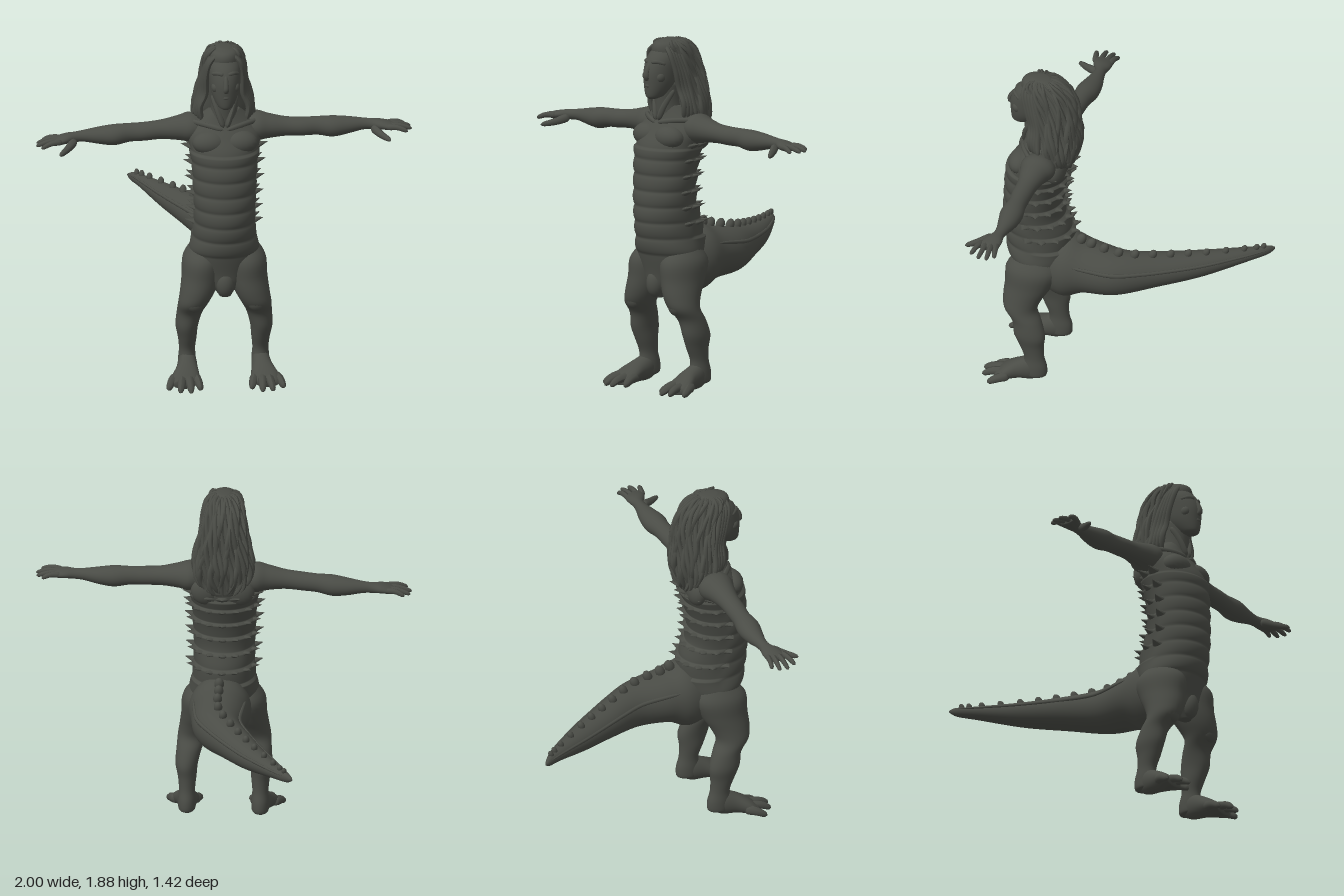
import * as THREE from 'three';

const skin = new THREE.MeshStandardMaterial({ color: 0x4a4c46 });
skin.name = 'dark olive grey';
const V = (x, y, z) => new THREE.Vector3(x, y, z);

// Smooth interpolation through rows of [x, y, z, halfWidth, halfDepth]
function profile(rows) {
  const path = new THREE.CatmullRomCurve3(rows.map(r => V(r[0], r[1], r[2])), false, 'catmullrom', 0.5);
  const size = new THREE.CatmullRomCurve3(rows.map(r => V(r[3], r[4], 0)), false, 'catmullrom', 0.5);
  return (v) => ({ c: path.getPoint(v), s: size.getPoint(v) });
}

// Closed body of elliptical rings whose planes are square to the given axis
function loft(name, rows, axis, steps = 40, sides = 28, shape = null) {
  const at = profile(rows), pos = [], idx = [];
  for (let i = 0; i <= steps; i++) {
    const { c, s } = at(i / steps);
    for (let j = 0; j < sides; j++) {
      const t = (j / sides) * Math.PI * 2, k = shape ? shape(c, t) : 0;
      const p = (s.x + k) * Math.cos(t), q = (s.y + k) * Math.sin(t);
      if (axis === 'y') pos.push(c.x + p, c.y, c.z + q);
      else if (axis === 'x') pos.push(c.x, c.y + q, c.z + p);
      else pos.push(c.x + p, c.y + q, c.z);
    }
  }
  for (let i = 0; i < steps; i++) for (let j = 0; j < sides; j++) {
    const a = i * sides + j, b = i * sides + (j + 1) % sides;
    idx.push(a, b, a + sides, b, b + sides, a + sides);
  }
  for (const i of [0, steps]) {
    const c = at(i / steps).c, n = pos.length / 3;
    pos.push(c.x, c.y, c.z);
    for (let j = 0; j < sides; j++) {
      const a = i * sides + j, b = i * sides + (j + 1) % sides;
      if (i) idx.push(a, b, n); else idx.push(b, a, n);
    }
  }
  // turn the faces outward
  const at3 = (i) => V(pos[i * 3], pos[i * 3 + 1], pos[i * 3 + 2]);
  let vol = 0;
  for (let i = 0; i < idx.length; i += 3) vol += at3(idx[i]).dot(at3(idx[i + 1]).cross(at3(idx[i + 2])));
  if (vol < 0) idx.reverse();
  const g = new THREE.BufferGeometry();
  g.setAttribute('position', new THREE.Float32BufferAttribute(pos, 3));
  g.setIndex(idx);
  g.computeVertexNormals();
  return named(name, g);
}

function named(name, geometry) {
  const m = new THREE.Mesh(geometry, skin);
  m.name = name;
  return m;
}

// Round strand along points, thickest at the middle radius and closed at both ends
function strand(name, points, r0, r1, steps = 16, sides = 8) {
  const curve = new THREE.CatmullRomCurve3(points), g = new THREE.TubeGeometry(curve, steps, 1, sides);
  const p = g.attributes.position, v = V(0, 0, 0);
  for (let i = 0; i <= steps; i++) {
    const u = i / steps, c = curve.getPointAt(u);
    const r = (r0 + (r1 - r0) * u) * Math.sqrt(Math.max(0, 1 - Math.pow(2 * u - 1, 6))) + 0.0005;
    for (let j = 0; j <= sides; j++) {
      const n = i * (sides + 1) + j;
      v.fromBufferAttribute(p, n).sub(c).multiplyScalar(r).add(c);
      p.setXYZ(n, v.x, v.y, v.z);
    }
  }
  g.computeVertexNormals();
  return named(name, g);
}

function blob(name, x, y, z, a, b, c) {
  const m = named(name, new THREE.SphereGeometry(1, 20, 14));
  m.position.set(x, y, z);
  m.scale.set(a, b, c);
  return m;
}

const torsoRows = [[0, .5, .53, .03, .03], [0, .55, .5, .07, .08], [0, .63, .46, .15, .13], [0, .72, .445, .185, .165],
  [0, .82, .45, .168, .18], [0, .92, .465, .16, .18], [0, 1.02, .485, .16, .16], [0, 1.12, .485, .165, .155],
  [0, 1.22, .475, .17, .16], [0, 1.32, .455, .185, .165], [0, 1.4, .43, .195, .145], [0, 1.46, .42, .15, .12], [0, 1.53, .44, .08, .08]];
const hairRows = [[0, 1.883, .45, .03, .04], [0, 1.86, .45, .075, .1], [0, 1.8, .42, .098, .135], [0, 1.7, .38, .115, .125],
  [0, 1.6, .36, .135, .11], [0, 1.5, .345, .15, .1], [0, 1.41, .33, .13, .065], [0, 1.35, .3, .07, .025]];
const tailRows = [[0, .68, .45, .12, .13], [.01, .69, .3, .165, .185], [.01, .7, .18, .15, .145], [0, .695, 0, .128, .12],
  [-.1, .7, -.2, .108, .09], [-.215, .708, -.4, .084, .066], [-.345, .727, -.6, .045, .036], [-.405, .733, -.68, .025, .025], [-.43, .735, -.71, .008, .008]];
const BAND = .085;

function addTorso(g) {
  // belly plates swell in front, overlapping ridges step outward behind
  g.add(loft('torso', torsoRows, 'y', 170, 48, (c, t) => {
    if (c.y < .74 || c.y > 1.31) return 0;
    const u = ((c.y - .74) / BAND) % 1, f = Math.sin(t);
    return f > -.1 ? .012 * Math.sqrt(Math.sin(Math.PI * u)) * Math.min(1, f + .4) : .018 * u * Math.min(1, -f + .3);
  }));
  g.add(blob('groin', 0, .575, .555, .05, .075, .05));
  for (const s of [-1, 1]) {
    g.add(blob('pectoral', s * .08, 1.365, .53, .095, .065, .07));
    g.add(blob('shoulderBlade', s * .09, 1.36, .33, .08, .08, .05));
    g.add(strand('neckTendon', [V(s * .008, 1.45, .545), V(s * .035, 1.53, .525), V(s * .065, 1.62, .48)], .016, .016));
    g.add(strand('collarbone', [V(s * .01, 1.44, .55), V(s * .09, 1.455, .515), V(s * .19, 1.46, .44)], .014, .014));
  }
  // rows of flattened spines around the back
  const at = profile(torsoRows);
  for (let row = 0; row < 6; row++) {
    const y = .9 + row * BAND;
    let v = 0;
    while (at(v).c.y < y) v += .002;
    const { c, s } = at(v);
    for (let k = -4; k <= 4; k++) {
      const t = -Math.PI / 2 + k * .4, out = V(Math.cos(t), .3, Math.sin(t)).normalize();
      const m = named('backSpine', new THREE.ConeGeometry(.042, .065, 8));
      m.scale.z = .4;
      m.position.set(s.x * Math.cos(t), y, c.z + s.y * Math.sin(t)).addScaledVector(out, .018);
      const side = V(-Math.sin(t), 0, Math.cos(t));
      m.quaternion.setFromRotationMatrix(new THREE.Matrix4().makeBasis(side, out, side.clone().cross(out)));
      g.add(m);
    }
  }
}

function addHead(g) {
  g.add(loft('neck', [[0, 1.38, .43, .1, .1], [0, 1.46, .445, .085, .09], [0, 1.54, .46, .07, .08], [0, 1.66, .47, .07, .08]], 'y', 16));
  g.add(loft('face', [[0, 1.572, .575, .02, .025], [0, 1.59, .555, .045, .06], [0, 1.65, .52, .073, .1], [0, 1.72, .505, .083, .113],
    [0, 1.79, .49, .083, .1], [0, 1.85, .46, .06, .07]], 'y', 30));
  g.add(strand('nose', [V(0, 1.765, .595), V(0, 1.72, .62), V(0, 1.69, .625), V(0, 1.68, .6)], .01, .017));
  g.add(strand('lips', [V(-.03, 1.642, .594), V(0, 1.644, .616), V(.03, 1.642, .594)], .008, .008));
  for (const s of [-1, 1]) {
    g.add(strand('brow', [V(s * .01, 1.768, .597), V(s * .04, 1.773, .585), V(s * .072, 1.76, .548)], .011, .009));
    g.add(blob('cheek', s * .05, 1.69, .565, .025, .03, .03));
  }
  g.add(loft('hairMass', hairRows, 'y', 40, 40));
  // wavy locks laid over the hair mass
  const at = profile(hairRows), locks = 34;
  for (let i = 0; i < locks; i++) {
    const phi = .45 - (i / (locks - 1)) * (Math.PI + .9), end = .87 + .13 * Math.abs(Math.sin(i * 2.3)), pts = [];
    for (let k = 0; k <= 11; k++) {
      const u = .03 + (end - .03) * k / 11, { c, s } = at(u), w = phi + .1 * Math.sin(k * 1.1 + i * 1.7);
      const lift = .002 + .007 * Math.sin(k * 1.4 + i);
      pts.push(V((s.x + lift) * Math.cos(w), c.y, c.z + (s.y + lift) * Math.sin(w)));
    }
    g.add(strand('hairLock', pts, .011, .016, 30, 7));
  }
  for (const s of [-1, 1]) for (let i = 0; i < 4; i++) {
    const d = i * .017;
    g.add(strand('frontLock', [V(s * .015, 1.868 - d * .2, .51 - d), V(s * .075, 1.82, .525 - d), V(s * (.098 + d * .2), 1.72, .5 - d),
      V(s * (.1 + d * .5), 1.62, .475 - d), V(s * (.13 + d * .3), 1.54, .47 - d), V(s * (.115 + d), 1.455 + d * .4, .46 - d)], .013, .017, 24));
  }
}

function addArm(g, s) {
  const drop = (x) => (s < 0 ? -.075 * Math.max(0, x - .3) : 0);
  const P = (x, y, z) => V(s * x, y + drop(x), z);
  const rows = [[.08, 1.41, .41, .06, .05], [.17, 1.413, .405, .095, .078], [.24, 1.41, .41, .075, .066], [.33, 1.405, .41, .056, .052],
    [.42, 1.402, .41, .053, .05], [.5, 1.402, .405, .05, .05], [.58, 1.397, .405, .062, .056], [.66, 1.4, .4, .052, .046],
    [.74, 1.405, .4, .034, .032], [.79, 1.405, .405, .032, .028], [.84, 1.405, .415, .05, .026], [.89, 1.4, .425, .055, .02], [.91, 1.398, .427, .04, .012]];
  g.add(loft('arm', rows.map(([x, y, z, a, b]) => [s * x, y + drop(x), z, a, b]), 'x', 50, 24));
  const tips = [[.965, .365], [.995, .4], [1, .445], [.975, .495]];
  tips.forEach(([x, z], i) => {
    const z0 = .385 + i * .026;
    g.add(strand('finger', [P(.86, 1.402, z0), P(.92, 1.405, (z0 + z) / 2), P(x, 1.388, z)], .017, .011));
  });
  g.add(strand('thumb', [P(.79, 1.395, .43), P(.83, 1.375, .49), P(.88, 1.362, .56)], .025, .012));
}

function addLeg(g, s) {
  const rows = [[.1, .78, .44, .07, .09], [.115, .7, .455, .105, .145], [.125, .6, .475, .103, .13], [.145, .52, .5, .093, .108],
    [.168, .455, .505, .08, .09], [.185, .39, .465, .068, .08], [.198, .31, .445, .06, .085], [.195, .24, .435, .05, .068],
    [.195, .17, .42, .043, .055], [.195, .11, .415, .047, .066], [.195, .06, .415, .045, .065], [.195, .045, .42, .03, .045]];
  g.add(loft('leg', rows.map(r => [s * r[0], ...r.slice(1)]), 'y', 50, 26));
  g.add(blob('kneecap', s * .165, .47, .562, .05, .05, .036));
  const foot = [[.195, .085, .38, .03, .04], [.195, .09, .43, .048, .07], [.2, .075, .5, .058, .06], [.212, .05, .57, .075, .044], [.22, .03, .62, .06, .022]];
  g.add(loft('foot', foot.map(r => [s * r[0], ...r.slice(1)]), 'z', 24, 22));
  const tips = [[.135, .655], [.19, .705], [.247, .695], [.308, .645]];
  tips.forEach(([x, z], i) => {
    const x0 = .165 + i * .03;
    g.add(strand('toe', [V(s * x0, .05, .54), V(s * (x0 * .4 + x * .6), .04, z - .055), V(s * x, .012, z)], .031, .015));
  });
}

function addTail(g) {
  g.add(loft('tail', tailRows, 'z', 60, 30));
  // blunt knobs along the ridge
  const at = profile(tailRows);
  for (let i = 0; i < 13; i++) {
    const { c, s } = at(.21 + i * .052), k = 1 - i * .04;
    const m = blob('tailKnob', c.x, c.y + s.y + .008 * k, c.z, .026 * k, .04 * k, .027 * k);
    m.rotation.x = -.45;
    g.add(m);
  }
  for (const s of [-1, 1]) {
    const pts = [];
    for (let i = 0; i <= 8; i++) {
      const { c, s: r } = at(.2 + i * .085);
      pts.push(V(c.x + s * r.x * .88, c.y + r.y * .45, c.z));
    }
    g.add(strand('tailCrease', pts, .012, .006, 30));
  }
}

export function createModel() {
  const model = new THREE.Group();
  const part = (name, build, ...args) => {
    const g = new THREE.Group();
    g.name = name;
    build(g, ...args);
    model.add(g);
  };
  part('body', addTorso);
  part('headAndHair', addHead);
  part('tailGroup', addTail);
  for (const s of [1, -1]) {
    part(s > 0 ? 'leftArm' : 'rightArm', addArm, s);
    part(s > 0 ? 'leftLeg' : 'rightLeg', addLeg, s);
  }
  return model;
}
